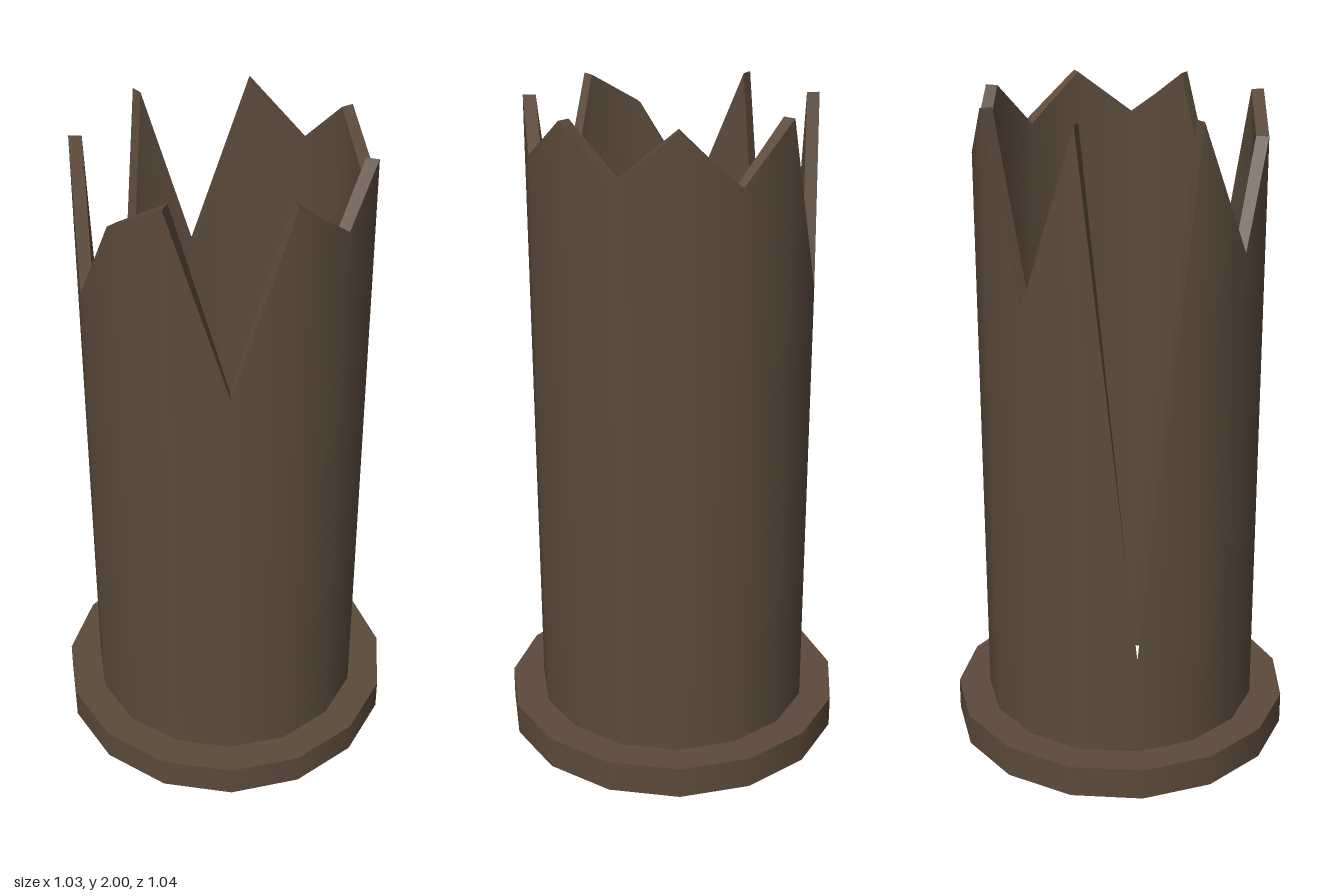
import * as THREE from 'three';

const SIDES = 15;
const OFFSET_X = -0.0057;

// Ring with smooth walls and flat caps; topAt(k) gives the rim height at corner k.
function ringGeometry(inner, outer, topAt) {
  const positions = [];
  const normals = [];
  const point = (k, r, y) => {
    const a = (k / SIDES) * Math.PI * 2;
    return new THREE.Vector3(Math.cos(a) * r, y, Math.sin(a) * r);
  };
  // radial: 1 = outward smooth normals, -1 = inward, 0 = flat face
  const quad = (a, b, c, d, radial) => {
    const flat = b.clone().sub(a).cross(c.clone().sub(a)).normalize();
    for (const p of [a, b, c, a, c, d]) {
      const n = radial ? new THREE.Vector3(p.x, 0, p.z).normalize().multiplyScalar(radial) : flat;
      positions.push(p.x, p.y, p.z);
      normals.push(n.x, n.y, n.z);
    }
  };
  for (let k = 0; k < SIDES; k++) {
    const j = (k + 1) % SIDES;
    const [yk, yj] = [topAt(k), topAt(j)];
    const [ok, oj, ik, ij] = [point(k, outer, 0), point(j, outer, 0), point(k, inner, 0), point(j, inner, 0)];
    const [tok, toj, tik, tij] = [point(k, outer, yk), point(j, outer, yj), point(k, inner, yk), point(j, inner, yj)];
    quad(oj, ok, tok, toj, 1); // outside wall
    quad(ik, ij, tij, tik, -1); // inside wall
    quad(toj, tok, tik, tij, 0); // top rim
    quad(ok, oj, ij, ik, 0); // underside
  }
  const geometry = new THREE.BufferGeometry();
  geometry.setAttribute('position', new THREE.Float32BufferAttribute(positions, 3));
  geometry.setAttribute('normal', new THREE.Float32BufferAttribute(normals, 3));
  return geometry;
}

export function createModel() {
  const group = new THREE.Group();
  group.name = 'brokenColumn';

  const brown = new THREE.MeshStandardMaterial({ color: 0x5c4a3b });
  brown.name = 'darkBrown';

  // Hollow shaft with a jagged broken rim
  const rim = [2, 1.86, 2, 1.87, 2, 1.44, 2, 1.9, 1.61, 2, 0.38, 2, 1.47, 2, 1.84];
  const shaft = new THREE.Mesh(ringGeometry(0.386, 0.423, (k) => rim[k]), brown);
  shaft.name = 'brokenShaft';

  // Flange around the foot
  const flange = new THREE.Mesh(ringGeometry(0.423, 0.523, () => 0.1), brown);
  flange.name = 'baseFlange';

  for (const part of [shaft, flange]) {
    part.position.x = OFFSET_X;
    group.add(part);
  }
  return group;
}
